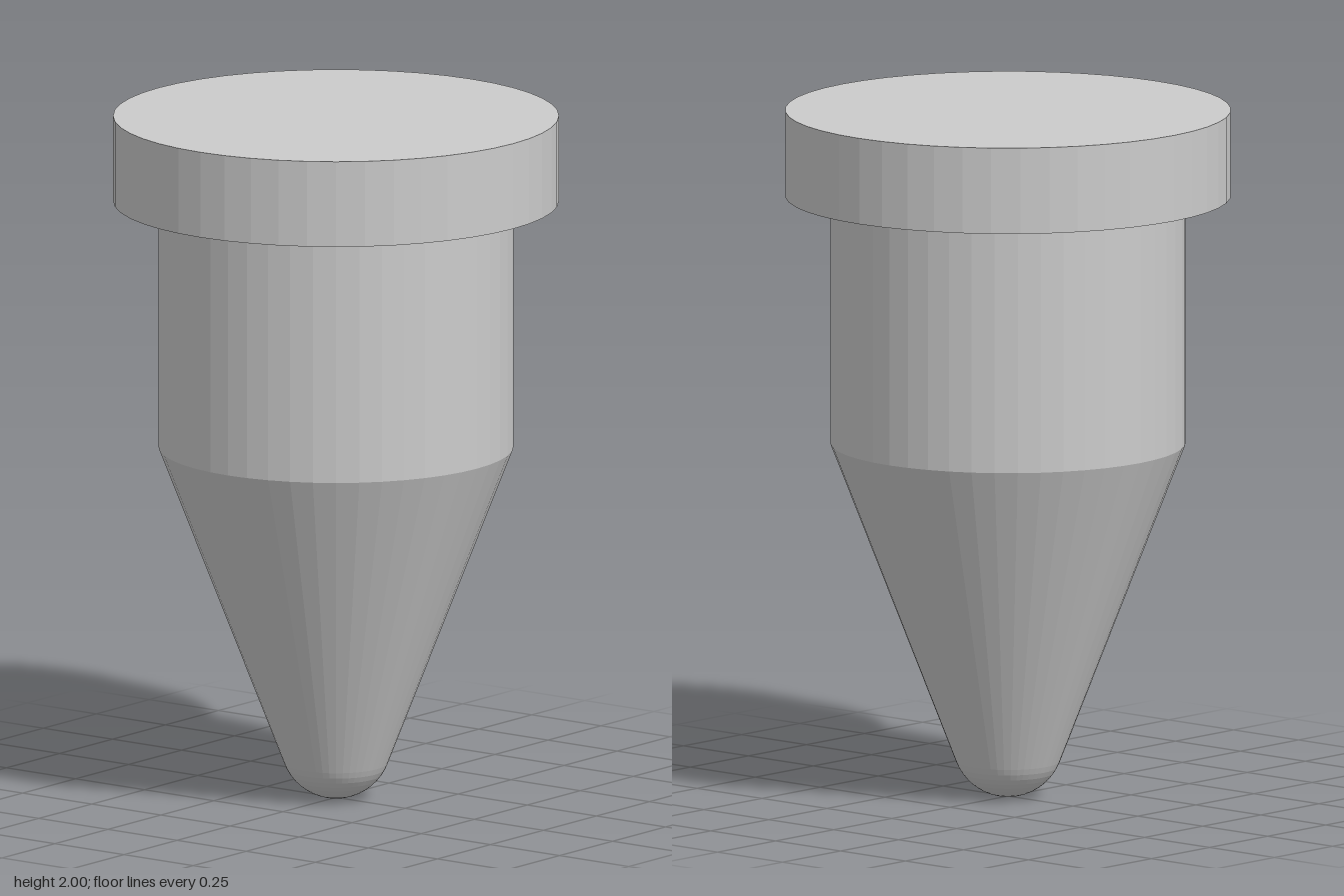
import * as THREE from 'three';

const SEGMENTS = 48;
const HEAD_RADIUS = 0.64, BODY_RADIUS = 0.51, TIP_RADIUS = 0.16;
const TOP = 2, HEAD_BOTTOM = 1.75, CONE_TOP = 1.03;

export function createModel() {
  const group = new THREE.Group();
  group.name = 'flangedPin';
  const material = new THREE.MeshStandardMaterial({ color: 0xcccccc, flatShading: true });

  const add = (name, geometry, y = 0) => {
    const mesh = new THREE.Mesh(geometry, material);
    mesh.name = name;
    mesh.position.y = y;
    group.add(mesh);
  };

  // Flat disc head
  const headHeight = TOP - HEAD_BOTTOM;
  add('head', new THREE.CylinderGeometry(HEAD_RADIUS, HEAD_RADIUS, headHeight, SEGMENTS), HEAD_BOTTOM + headHeight / 2);

  // Straight shank
  const shankHeight = HEAD_BOTTOM - CONE_TOP;
  add('shank', new THREE.CylinderGeometry(BODY_RADIUS, BODY_RADIUS, shankHeight, SEGMENTS, 1, true), CONE_TOP + shankHeight / 2);

  // Rounded tip: an arc from the axis up to where the cone meets it tangentially
  const dx = BODY_RADIUS, dy = CONE_TOP - TIP_RADIUS;
  const sweep = Math.PI / 2 + Math.atan2(dy, dx) - Math.acos(TIP_RADIUS / Math.hypot(dx, dy));
  const steps = 10;
  const arc = [];
  for (let i = 0; i <= steps; i++) {
    const a = (sweep * i) / steps;
    arc.push(new THREE.Vector2(TIP_RADIUS * Math.sin(a), TIP_RADIUS * (1 - Math.cos(a))));
  }
  add('roundedTip', new THREE.LatheGeometry(arc, SEGMENTS));

  // Tapered cone from tip to shank
  add('taper', new THREE.LatheGeometry([arc[steps], new THREE.Vector2(BODY_RADIUS, CONE_TOP)], SEGMENTS));

  return group;
}
